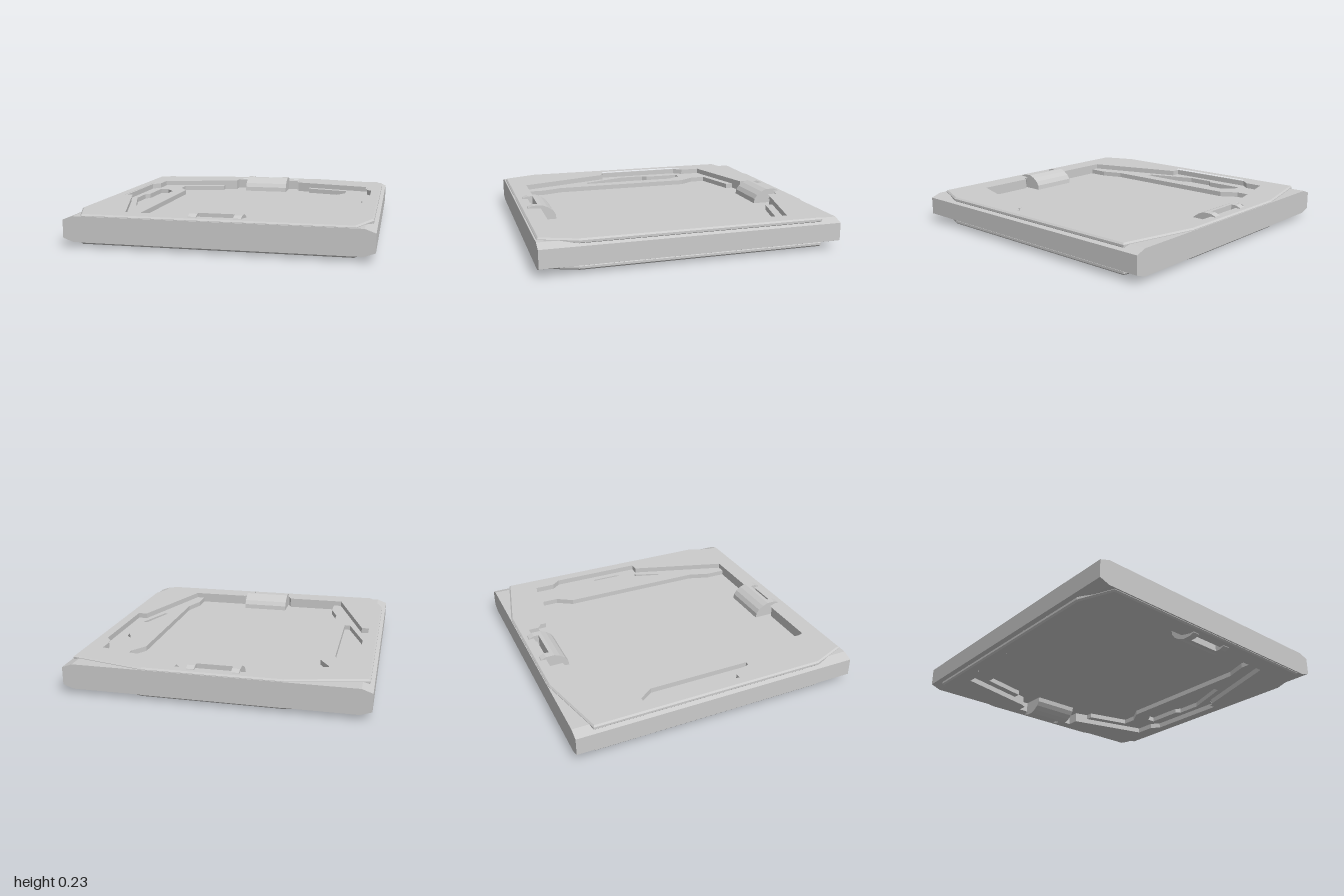
import * as THREE from 'three';

const MID = 0.1175;
const mat = new THREE.MeshStandardMaterial({ color: 0xcccccc, flatShading: true });

const toV = pts => pts.map(([a, b]) => new THREE.Vector2(a, b));
const mirrorX = half => [...half, ...half.map(([x, z]) => [-x, z]).reverse()];
const flipX = (pts, s) => pts.map(([x, z]) => [x * s, z]);

function add(parent, geo, name) {
  const m = new THREE.Mesh(geo, mat);
  m.name = name;
  parent.add(m);
  return m;
}

// Horizontal plate: outline in (x, z), between two heights, optional hole and bevel
function plate(outline, hole, y0, y1, bevel = 0) {
  const shape = new THREE.Shape(toV(outline));
  if (hole) shape.holes.push(new THREE.Path(toV(hole)));
  const geo = new THREE.ExtrudeGeometry(shape, {
    depth: y1 - y0 - 2 * bevel, bevelEnabled: bevel > 0, bevelSegments: 1,
    bevelSize: bevel, bevelThickness: bevel, bevelOffset: -bevel,
  });
  return geo.rotateX(Math.PI / 2).translate(0, y1 - bevel, 0);
}

// Profile in (z, y) extruded across x from x0 to x1
function across(profile, x0, x1) {
  const geo = new THREE.ExtrudeGeometry(new THREE.Shape(toV(profile)), { depth: x1 - x0, bevelEnabled: false });
  return geo.rotateY(-Math.PI / 2).translate(x1, 0, 0);
}

// Half outlines, front to back
const recessHalf = [
  [0.18, 0.92], [0.2, 0.87], [0.63, 0.87], [0.85, 0.18], [0.915, 0.18],
  [0.915, -0.48], [0.865, -0.54], [0.865, -0.69], [0.27, -0.84], [0.27, -0.93],
];
const recess = mirrorX(recessHalf);
const cover = mirrorX([[0.88, 0.99], [0.975, 0.75], [0.975, -0.875], [0.46, -0.995]]);
const ledge = [
  [0.57, 0.87], ...recessHalf.slice(2, 8), [0.37, -0.815], [0.37, -0.76],
  [0.69, -0.68], [0.69, -0.57], [0.62, -0.46], [0.62, 0.58], [0.57, 0.73],
];
const pocket = [
  [0.84, -0.48], [0.78, -0.48], [0.71, -0.38], [0.71, 0.34],
  [0.75, 0.34], [0.87, 0], [0.87, -0.18], [0.84, -0.21],
];

// Latch with a rounded hood on the inside and two hooked arms over the rim
function makeLatch(name) {
  const g = new THREE.Group();
  g.name = name;
  const hood = [
    [-0.76, 0.01], [-0.765, 0.045], [-0.785, 0.075], [-0.82, 0.1],
    [-0.86, 0.1165], [-0.885, 0.1165], [-0.885, 0.01],
  ];
  const arm = [
    [-0.885, 0.01], [-0.885, 0.1165], [-0.92, 0.1165], [-0.955, 0.103],
    [-0.96, 0.09], [-0.93, 0.085], [-0.93, 0.01],
  ];
  add(g, across(hood, -0.172, 0.172), 'latchHood');
  for (const s of [-1, 1]) add(g, across(arm, s * 0.146 - 0.026, s * 0.146 + 0.026), 'latchArm');
  add(g, new THREE.BoxGeometry(0.25, 0.06, 0.03).translate(0, 0.04, -0.915), 'latchBar');
  return g;
}

// One face of the panel, measured upward from the middle plane
function makeFace(name) {
  const g = new THREE.Group();
  g.name = name;
  add(g, plate([[-0.93, -1], [0.93, -1], [0.93, 1], [-0.93, 1]], recess, 0, 0.085), 'frame');
  add(g, plate(cover, recess, 0.064, 0.0985, 0.01), 'coverPlate');
  for (const s of [-1, 1]) {
    add(g, plate(flipX(ledge, s), flipX(pocket, s), 0, 0.047), 'sideLedge');
  }
  g.add(makeLatch('backLatch'));
  const front = makeLatch('frontLatch');
  front.rotation.y = Math.PI;
  front.position.z = -0.01;
  g.add(front);
  return g;
}

export function createModel() {
  const model = new THREE.Group();
  model.name = 'panel';

  // Thin centre sheet forming the recess floor on both faces
  add(model, new THREE.BoxGeometry(1.85, 0.024, 1.88).translate(0, MID, 0), 'centreSheet');

  // Bevelled side rails
  for (const s of [-1, 1]) {
    const section = [[0.93, -0.085], [1, -0.06], [1, 0.06], [0.93, 0.085]];
    const geo = new THREE.ExtrudeGeometry(new THREE.Shape(toV(flipX(section, s))), { depth: 2, bevelEnabled: false });
    add(model, geo.translate(0, MID, -1), 'sideRail');
  }

  // Identical faces; the lower one is turned over about the z axis
  const top = makeFace('topFace');
  const bottom = makeFace('bottomFace');
  bottom.rotation.z = Math.PI;
  top.position.y = bottom.position.y = MID;
  model.add(top, bottom);
  return model;
}
